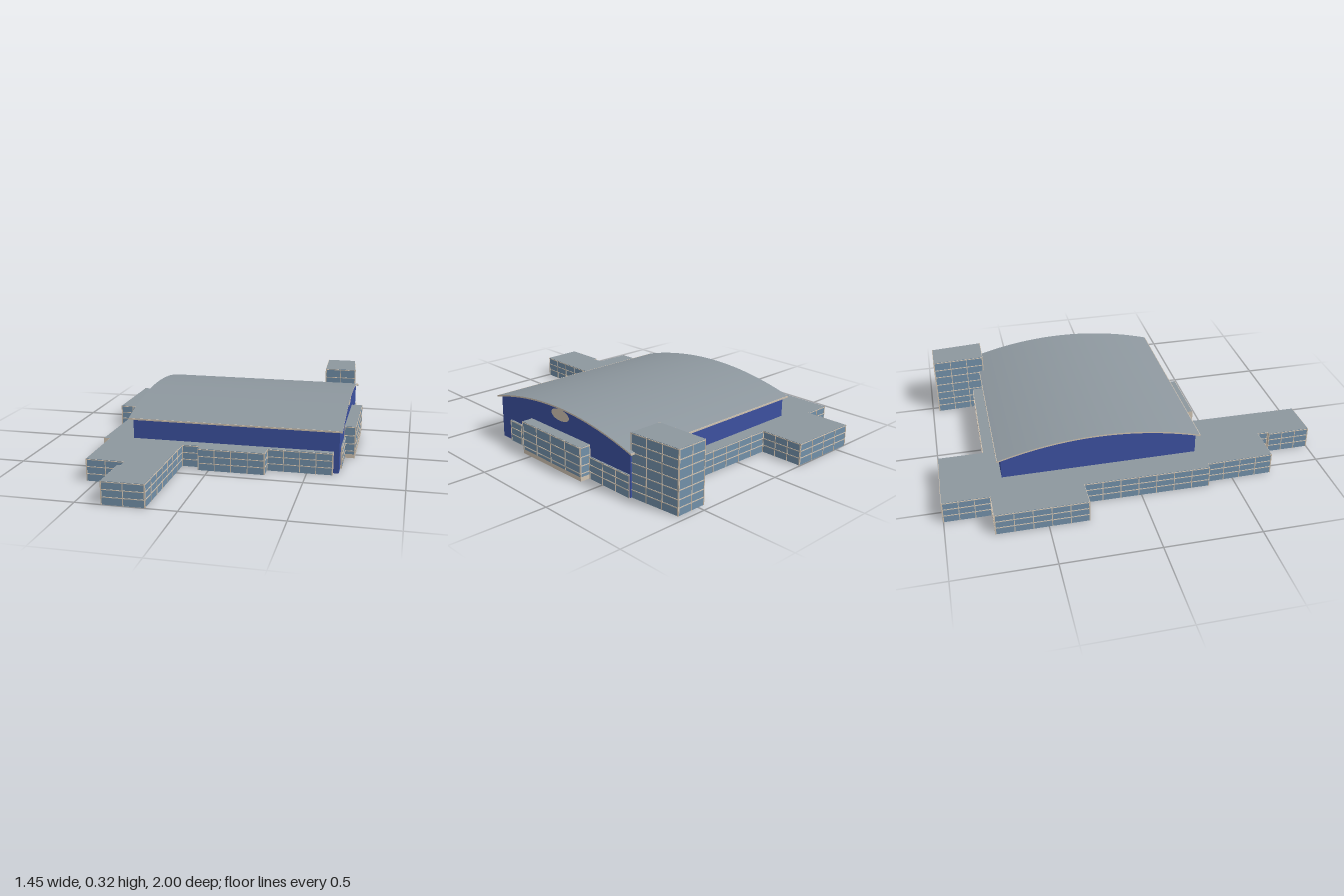
import * as THREE from 'three';
import { toCreasedNormals } from 'three/addons/utils/BufferGeometryUtils.js';

const mat = (name, color, side = THREE.FrontSide) => {
  const m = new THREE.MeshStandardMaterial({ color, side });
  m.name = name;
  return m;
};

export function createModel() {
  const model = new THREE.Group();
  const roofGrey = mat('roofGrey', 0x8d979e, THREE.DoubleSide);
  const glassBlue = mat('glassBlue', 0x7290a9);
  const wallBlue = mat('wallBlue', 0x3c51a0, THREE.DoubleSide);
  const beige = mat('beige', 0xd0c3b2);

  const add = (parent, name, geometry, material, x = 0, y = 0, z = 0) => {
    const m = new THREE.Mesh(geometry, material);
    m.name = name;
    m.position.set(x, y, z);
    parent.add(m);
    return m;
  };

  // One wall from a to b, outside on the left of the travel direction
  function wall(parent, a, b, y0, y1, rows, pitch) {
    const dx = b[0] - a[0], dz = b[1] - a[1];
    const len = Math.hypot(dx, dz), h = y1 - y0;
    const g = new THREE.Group();
    g.name = 'wall';
    g.position.set((a[0] + b[0]) / 2, y0, (a[1] + b[1]) / 2);
    g.rotation.y = Math.atan2(dz, -dx);
    parent.add(g);
    const glazed = len > 0.05;
    const pane = new THREE.PlaneGeometry(len, h);
    add(g, glazed ? 'glazing' : 'wallPanel', pane, glazed ? glassBlue : beige, 0, h / 2, 0);
    add(g, 'innerLining', pane, beige, 0, h / 2, -0.001).rotation.y = Math.PI;
    if (!glazed) return;
    // Mullion grid
    for (const y of rows) {
      add(g, 'transom', new THREE.BoxGeometry(len, 0.004, 0.003), beige, 0, y - y0, 0.001);
    }
    const n = Math.max(1, Math.round(len / pitch));
    for (let i = 0; i <= n; i++) {
      const x = (i / n - 0.5) * (len - 0.004);
      add(g, 'mullion', new THREE.BoxGeometry(0.004, h, 0.003), beige, x, h / 2, 0.001);
    }
  }

  // Flat-roofed glazed block over a clockwise outline; a third entry skips that wall
  function block(name, outline, y0, y1, rows, pitch) {
    const g = new THREE.Group();
    g.name = name;
    model.add(g);
    outline.forEach((p, i) => {
      if (!p[2]) wall(g, p, outline[(i + 1) % outline.length], y0, y1, rows, pitch);
    });
    const shape = new THREE.Shape(outline.map(([x, z]) => new THREE.Vector2(x, -z)));
    add(g, 'flatRoof', new THREE.ShapeGeometry(shape).rotateX(-Math.PI / 2), roofGrey, 0, y1, 0);
    return g;
  }

  // Low annex running around the hall
  block('annex', [
    [-0.579, -1], [-0.198, -0.995], [-0.198, -0.761], [0.463, -0.756, 1],
    [0.64, -0.756, 1], [0.64, -0.69, 1], [0.667, -0.69], [0.667, 0.245],
    [0.65, 0.245, 1], [0.65, 0.32, 1], [0.632, 0.32], [0.632, 0.36],
    [0.294, 0.36], [0.294, 0.433], [-0.056, 0.433], [-0.056, 0.387],
    [-0.151, 0.387], [-0.156, 0.995], [-0.368, 0.998], [-0.368, 0.77],
    [-0.352, 0.77], [-0.352, 0.711], [-0.553, 0.711], [-0.558, 0.36],
    [-0.59, 0.36], [-0.585, -0.297], [-0.727, -0.297], [-0.727, -0.761],
    [-0.579, -0.761],
  ], 0, 0.116, [0.038, 0.075, 0.112], 0.09);

  // Corner tower
  block('tower', [[0.463, -0.963], [0.627, -0.963], [0.653, -0.685], [0.474, -0.685]],
    0, 0.322, [0.04, 0.08, 0.125, 0.175, 0.225, 0.27, 0.318], 0.09);

  // Side porch on a plinth
  const porch = block('porch', [[0.66, -0.403], [0.72, -0.403], [0.72, 0.06], [0.66, 0.06, 0]],
    0.022, 0.176, [0.04, 0.08, 0.125, 0.172], 0.11);
  add(porch, 'plinth', new THREE.BoxGeometry(0.06, 0.022, 0.463), beige, 0.69, 0.011, -0.1715);

  // Hall with curved gables, open underneath
  const hall = new THREE.Group();
  hall.name = 'hall';
  model.add(hall);
  const midZ = -0.182, halfRoof = 0.527, halfHall = 0.508;
  const arch = (t) => 0.3 - 0.078 * (t / halfRoof) ** 2;
  const arc = (half, lift) => Array.from({ length: 33 }, (_, i) => {
    const t = half * (i / 16 - 1);
    return new THREE.Vector2(t, arch(t) + lift);
  });
  const gable = new THREE.ShapeGeometry(new THREE.Shape([
    new THREE.Vector2(halfHall, 0), new THREE.Vector2(-halfHall, 0), ...arc(halfHall, 0.001),
  ])).rotateY(Math.PI / 2);
  add(hall, 'gable', gable, wallBlue, 0.66, 0, midZ);
  add(hall, 'gable', gable, wallBlue, -0.435, 0, midZ);
  const eaveY = arch(halfHall);
  for (const s of [-1, 1]) {
    const side = add(hall, 'longWall', new THREE.PlaneGeometry(1.095, eaveY), wallBlue,
      0.1125, eaveY / 2, midZ + s * halfHall);
    if (s < 0) side.rotation.y = Math.PI;
  }

  // Oval gable window
  const oval = new THREE.CircleGeometry(1, 32).scale(0.07, 0.03, 1).rotateY(Math.PI / 2);
  add(hall, 'ovalWindow', oval, beige, 0.664, 0.263, midZ);

  // Curved roof with pale edges
  const band = new THREE.Shape([...arc(halfRoof, 0), ...arc(halfRoof, 0.008).reverse()]);
  const roof = toCreasedNormals(
    new THREE.ExtrudeGeometry(band, { depth: 1.13, bevelEnabled: false }).rotateY(Math.PI / 2), 0.6);
  add(hall, 'curvedRoof', roof, [beige, roofGrey], -0.455, 0, midZ);
  for (const s of [-1, 1]) {
    add(hall, 'eaveTrim', new THREE.BoxGeometry(1.13, 0.009, 0.003), beige,
      0.11, arch(halfRoof) + 0.004, midZ + s * halfRoof);
  }
  return model;
}
